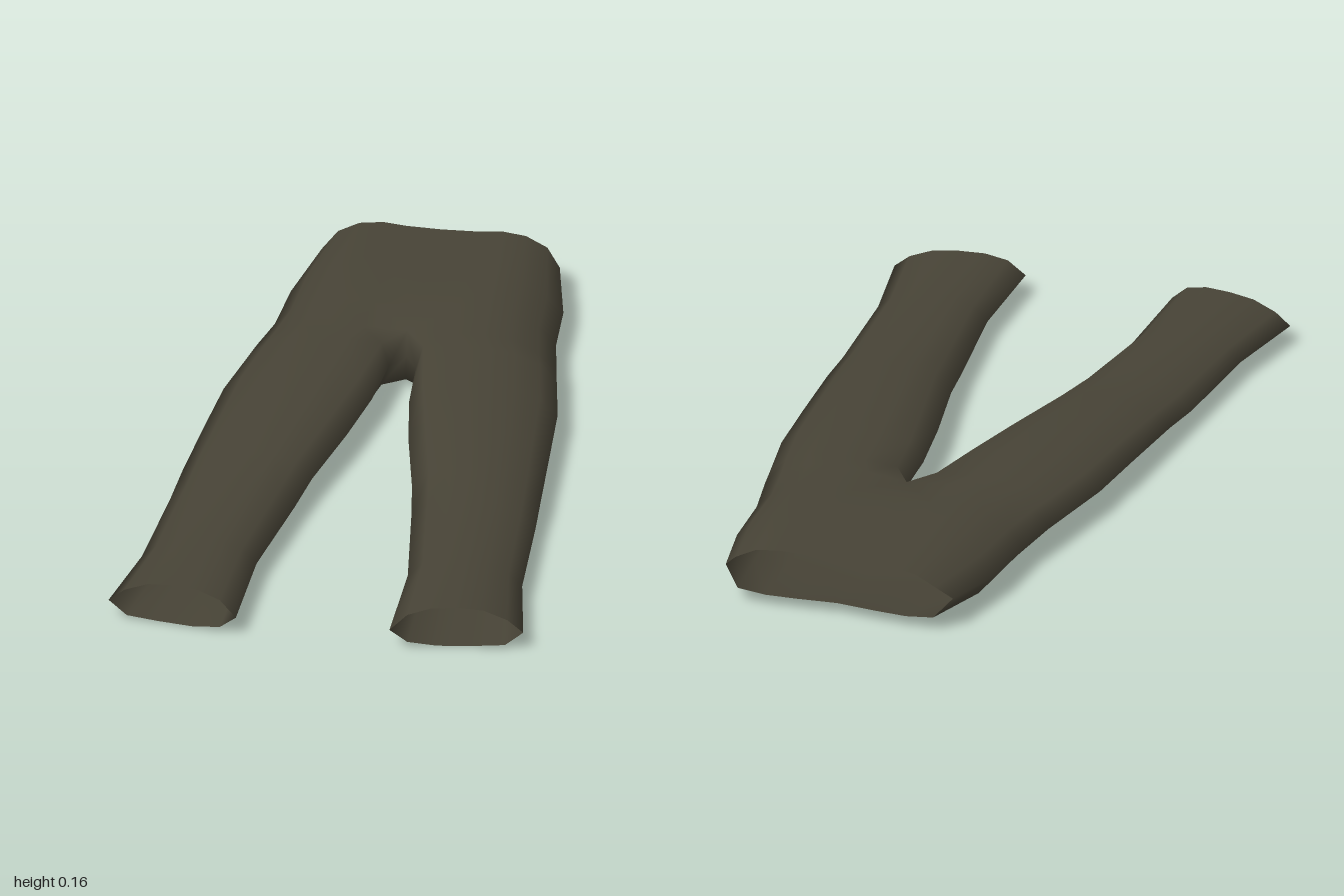
import * as THREE from 'three';
import { mergeVertices } from 'three/addons/utils/BufferGeometryUtils.js';

// Stations from waist to hem: z, inner x, outer x, bottom y, top y, inner rounding (0 = joined at the seam)
const STATIONS = [
  [-1.00, 0.00, 0.31, 0.035, 0.166, 0],
  [-0.76, 0.00, 0.355, 0.003, 0.168, 0],
  [-0.58, 0.00, 0.366, 0.005, 0.162, 0],
  [-0.45, 0.00, 0.39, 0.018, 0.158, 0],
  [-0.38, 0.035, 0.402, 0.02, 0.156, 0.4],
  [-0.20, 0.048, 0.435, 0.02, 0.151, 0.7],
  [0.00, 0.08, 0.45, 0.02, 0.145, 0.9],
  [0.24, 0.13, 0.467, 0.018, 0.132, 1],
  [0.38, 0.152, 0.476, 0.005, 0.122, 1],
  [0.70, 0.197, 0.495, 0.01, 0.115, 1],
  [0.96, 0.20, 0.54, 0.007, 0.117, 1],
];
const CROTCH = 3;

// Section outline, inner top over the outside to inner bottom, as fractions of width and height
const OUTLINE = [
  [0.3, 0.98], [0.5, 1], [0.7, 0.94], [0.88, 0.72],
  [1, 0.42], [0.86, 0.06], [0.62, 0], [0.35, 0],
];

function ring(index, side) {
  const [z, inner, outer, low, high, k] = STATIONS[index];
  const topV = index === CROTCH ? 0.92 : 1 - 0.17 * k;
  const points = [[0.13 * k, topV], ...OUTLINE, [0.13 * k, 0.12 * k], [0, 0.46]];
  return points.map(([u, v], j) => {
    let dz = 0;
    if (index === 0) dz = u > 0.9 ? 0.03 : 0.015 * Math.max(0, 1 - u * 2); // waist dips at the centre
    if (index === CROTCH && u === 0) dz = j === 0 ? -0.01 : 0.015 * (1 - v); // seam leans forward
    if (index === STATIONS.length - 1) dz = -0.01 + 0.05 * (1 - u) ** 2; // slanted hem
    return [side * (inner + u * (outer - inner)), low + v * (high - low), z + dz];
  });
}

function trouserGeometry() {
  const positions = [];
  const triangle = (a, b, c, side) => positions.push(...a, ...(side > 0 ? [...b, ...c] : [...c, ...b]));
  for (const side of [1, -1]) {
    for (let i = 0; i < STATIONS.length - 1; i++) {
      const near = ring(i, side);
      const far = ring(i + 1, side);
      // Above the crotch each half stays open at the centre; below it the leg closes
      const columns = i < CROTCH ? 9 : 11;
      for (let j = 0; j < columns; j++) {
        const n = (j + 1) % 11;
        triangle(near[j], far[j], near[n], side);
        triangle(near[n], far[j], far[n], side);
      }
    }
  }
  const geometry = new THREE.BufferGeometry();
  geometry.setAttribute('position', new THREE.Float32BufferAttribute(positions, 3));
  const merged = mergeVertices(geometry, 1e-4);
  merged.computeVertexNormals();
  return merged;
}

export function createModel() {
  const cloth = new THREE.MeshStandardMaterial({ color: 0x474336 });
  cloth.name = 'dark olive cloth';
  cloth.side = THREE.DoubleSide;

  // One continuous open shell: hips and both legs
  const trousers = new THREE.Mesh(trouserGeometry(), cloth);
  trousers.name = 'trousers';

  const model = new THREE.Group();
  model.name = 'flatTrousers';
  model.add(trousers);
  return model;
}
